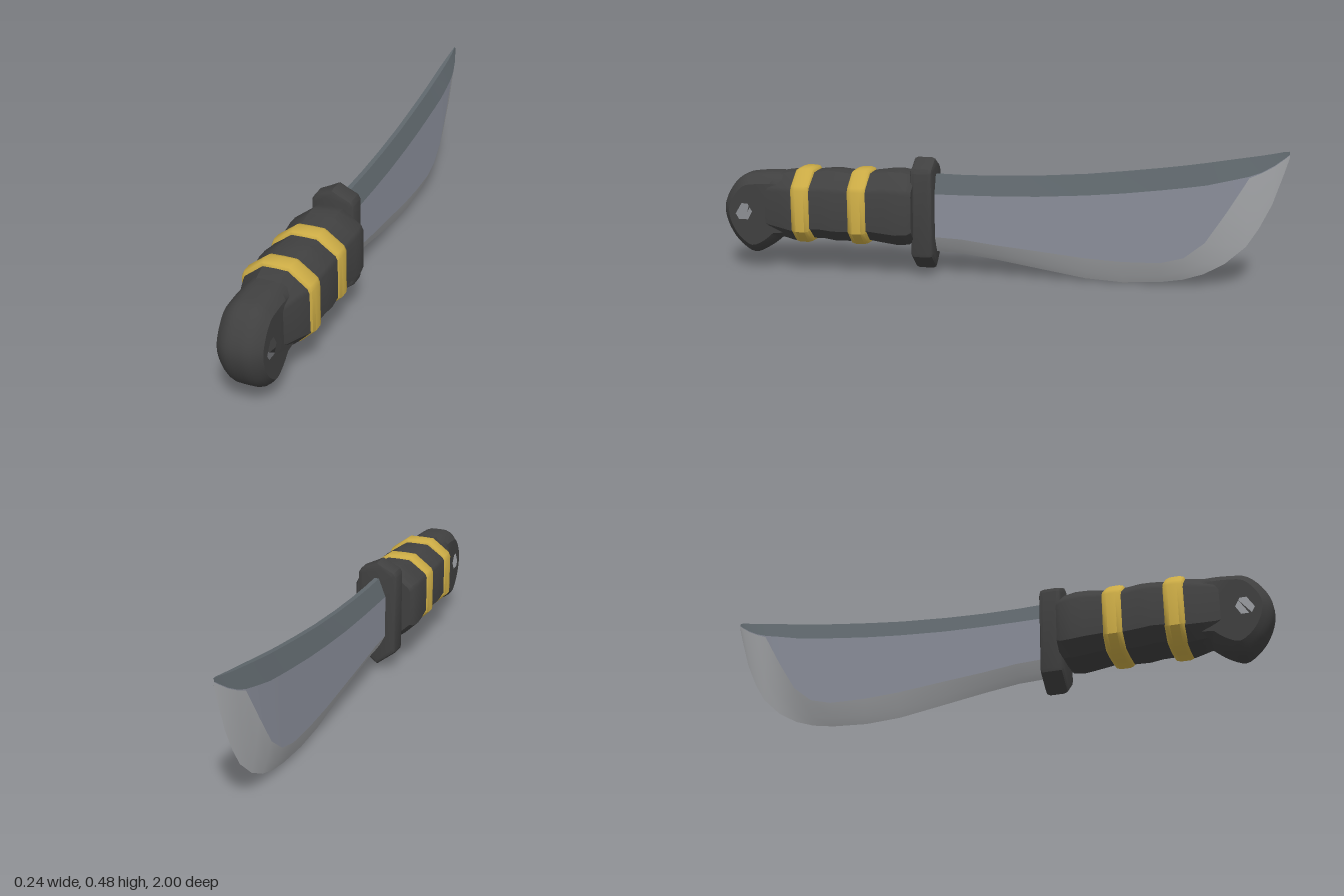
import * as THREE from 'three';
import { toCreasedNormals } from 'three/addons/utils/BufferGeometryUtils.js';

const material = (name, color) => {
  const m = new THREE.MeshStandardMaterial({ color });
  m.name = name;
  return m;
};

// Skin rows of points (ordered by rising z, counterclockwise seen from +z)
function skin(rows, closed, crease) {
  const n = rows[0].length, pos = [];
  const tri = (a, b, c) => pos.push(...a, ...b, ...c);
  for (let i = 0; i < rows.length - 1; i++) {
    for (let j = 0; j < (closed ? n : n - 1); j++) {
      const k = (j + 1) % n;
      tri(rows[i][j], rows[i][k], rows[i + 1][k]);
      tri(rows[i][j], rows[i + 1][k], rows[i + 1][j]);
    }
  }
  if (closed) {
    const first = rows[0], last = rows[rows.length - 1];
    for (let j = 1; j < n - 1; j++) {
      tri(first[0], first[j + 1], first[j]);
      tri(last[0], last[j], last[j + 1]);
    }
  }
  const g = new THREE.BufferGeometry();
  g.setAttribute('position', new THREE.Float32BufferAttribute(pos, 3));
  return toCreasedNormals(g, crease);
}

// Faceted grip cross-section, right half from top to bottom, then mirrored
const half = [[0.38, 1], [0.94, 0.62], [1, 0.5], [1, -0.62], [0.6, -0.97]];
const outline = [
  ...half.map(([u, v]) => [-u, v]), [0, -1],
  ...half.slice().reverse(), [0, 1.01],
];
// Each section: z, bottom y, top y, half width
const gripRows = (sections) => sections.map(([z, b, t, w]) =>
  outline.map(([u, v]) => [u * w, (b + t) / 2 + v * (t - b) / 2, z]));

export function createModel() {
  const group = new THREE.Group();
  const grip = material('dark grip', 0x404040);
  const band = material('yellow band', 0xcbab45);
  const flat = material('blade steel', 0x8a8e9a);
  const spine = material('dark spine steel', 0x5e666b);
  const edge = material('bright edge steel', 0xaaacaf);
  const add = (name, geometry, mat) => {
    const mesh = new THREE.Mesh(geometry, mat);
    mesh.name = name;
    group.add(mesh);
  };

  // Blade stations: z, top, spine line, bevel line, cutting edge, half width
  const stations = [
    [-1.0, 0.484, 0.474, 0.472, 0.462, 0.002],
    [-0.985, 0.483, 0.462, 0.46, 0.41, 0.007],
    [-0.95, 0.475, 0.437, 0.434, 0.3, 0.017],
    [-0.91, 0.467, 0.415, 0.412, 0.215, 0.025],
    [-0.87, 0.46, 0.4, 0.395, 0.15, 0.03],
    [-0.8, 0.448, 0.383, 0.275, 0.085, 0.034],
    [-0.73, 0.436, 0.366, 0.165, 0.045, 0.035],
    [-0.66, 0.425, 0.355, 0.108, 0.022, 0.035],
    [-0.58, 0.414, 0.344, 0.087, 0.009, 0.035],
    [-0.45, 0.398, 0.328, 0.085, 0.002, 0.035],
    [-0.32, 0.384, 0.316, 0.092, 0.01, 0.035],
    [-0.15, 0.372, 0.305, 0.11, 0.038, 0.035],
    [0, 0.366, 0.301, 0.125, 0.063, 0.035],
    [0.12, 0.365, 0.3, 0.14, 0.08, 0.035],
    [0.25, 0.368, 0.3, 0.146, 0.086, 0.035],
  ];
  const blade = (fn) => skin(stations.map(fn), false, 0.5);
  add('bladeSpine', blade(([z, t, s, , , w]) =>
    [[w, s, z], [w * 0.25, t, z], [-w * 0.25, t, z], [-w, s, z]]), spine);
  add('bladeFlatRight', blade(([z, , s, e, , w]) => [[-w, s, z], [-w, e, z]]), flat);
  add('bladeFlatLeft', blade(([z, , s, e, , w]) => [[w, e, z], [w, s, z]]), flat);
  add('bladeEdge', blade(([z, , , e, b, w]) =>
    [[-w, e, z], [-w * 0.42, e + (b - e) * 0.65, z], [0, b, z],
      [w * 0.42, e + (b - e) * 0.65, z], [w, e, z]]), edge);

  // Guard plate with pointed ends and chamfered rim
  const guardShape = new THREE.Shape([
    [0, 0.022], [0.072, 0.078], [0.075, 0.09], [0.075, 0.378], [0.066, 0.394],
    [0.03, 0.411], [0, 0.427], [-0.03, 0.411], [-0.066, 0.394], [-0.075, 0.378],
    [-0.075, 0.09], [-0.072, 0.078],
  ].map(([x, y]) => new THREE.Vector2(x, y)));
  const guard = new THREE.ExtrudeGeometry(guardShape, {
    depth: 0.05, bevelSize: 0.014, bevelOffset: -0.014, bevelThickness: 0.015, bevelSegments: 2,
  });
  guard.translate(0, 0, 0.23);
  add('guard', toCreasedNormals(guard, 0.6), grip);

  // Grip with shallow finger swells, tapering into the pommel
  add('grip', skin(gripRows([
    [0.285, 0.13, 0.36, 0.105], [0.3, 0.118, 0.37, 0.114], [0.34, 0.115, 0.377, 0.12],
    [0.38, 0.12, 0.376, 0.119], [0.44, 0.128, 0.368, 0.113], [0.52, 0.122, 0.366, 0.113],
    [0.57, 0.122, 0.371, 0.118], [0.61, 0.128, 0.37, 0.117], [0.65, 0.128, 0.366, 0.113],
    [0.72, 0.115, 0.366, 0.111], [0.77, 0.125, 0.36, 0.094],
    [0.82, 0.135, 0.352, 0.079], [0.86, 0.16, 0.325, 0.066],
  ]), true, 0.6), grip);

  // Two rounded bands around the grip
  [[0.48, 0.113], [0.687, 0.112]].forEach(([z, bottom], i) => {
    const rows = [[-0.036, 0.013], [-0.03, 0.004], [-0.016, 0], [0.016, 0], [0.03, 0.004], [0.036, 0.013]]
      .map(([dz, inset]) => [z + dz, bottom + inset, 0.378 - inset, 0.121 - inset]);
    add(i ? 'rearBand' : 'frontBand', skin(gripRows(rows), true, 0.8), band);
  });

  // Pommel with lanyard hole, rounded by shrinking the outline towards its sides
  const pommelShape = new THREE.Shape();
  pommelShape.moveTo(0.7, 0.13);
  pommelShape.lineTo(0.7, 0.355);
  pommelShape.splineThru([[0.8, 0.36], [0.87, 0.356], [0.925, 0.345], [0.97, 0.3], [0.998, 0.24],
    [0.993, 0.18], [0.965, 0.12], [0.925, 0.078], [0.885, 0.06], [0.83, 0.085], [0.785, 0.122]]
    .map(([z, y]) => new THREE.Vector2(z, y)));
  const hole = new THREE.Vector2(0.915, 0.22);
  pommelShape.holes.push(new THREE.Path().absarc(hole.x, hole.y, 0.034, 0, Math.PI * 2, true));
  const pommel = new THREE.ExtrudeGeometry(pommelShape, {
    depth: 0.15, steps: 10, bevelEnabled: false, curveSegments: 3,
  });
  pommel.translate(0, 0, -0.075);
  const p = pommel.attributes.position;
  for (let i = 0; i < p.count; i++) {
    const x = p.getX(i), y = p.getY(i);
    if (Math.hypot(x - hole.x, y - hole.y) < 0.04) continue;
    const t = Math.max(0, (Math.abs(p.getZ(i)) / 0.075 - 0.3) / 0.7);
    const s = 1 - 0.24 * t * t;
    p.setXY(i, 0.87 + (x - 0.87) * s, 0.21 + (y - 0.21) * s);
  }
  pommel.rotateY(-Math.PI / 2);
  add('pommel', toCreasedNormals(pommel, 0.7), grip);

  return group;
}
